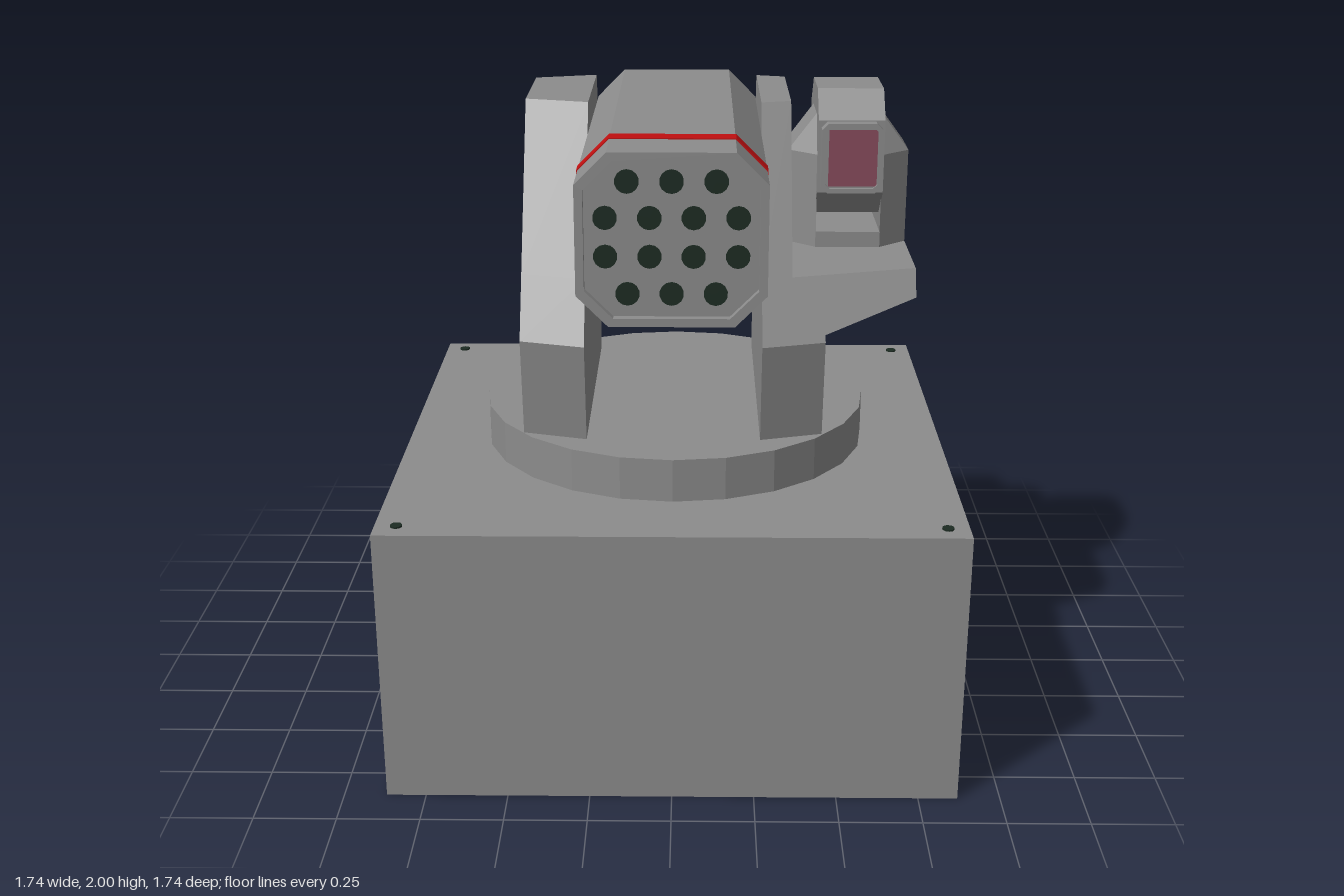
import * as THREE from 'three';
import { ConvexGeometry } from 'three/addons/geometries/ConvexGeometry.js';

const material = (name, color) => {
  const m = new THREE.MeshStandardMaterial({ color });
  m.name = name;
  return m;
};

export function createModel() {
  const model = new THREE.Group();
  model.name = 'launcherTurret';
  const grey = material('grey', 0x8c8c8c);
  const dark = material('darkGreen', 0x1c2b22);
  const red = material('red', 0xc00f10);
  const rose = material('rose', 0x864a5b);
  grey.flatShading = true;

  const add = (name, geometry, mat, x = 0, y = 0, z = 0, parent = model) => {
    const mesh = new THREE.Mesh(geometry, mat);
    mesh.name = name;
    mesh.position.set(x, y, z);
    parent.add(mesh);
    return mesh;
  };
  const box = (w, h, d) => new THREE.BoxGeometry(w, h, d);

  // Rectangle with cut corners, centred on the origin
  const octagon = (w, h, c, Type = THREE.Shape) => new Type([
    [w - c, -h], [w, c - h], [w, h - c], [w - c, h],
    [c - w, h], [-w, h - c], [-w, c - h], [c - w, -h],
  ].map(([x, y]) => new THREE.Vector2(x, y)));
  const extrude = (shape, depth) => new THREE.ExtrudeGeometry(shape, { depth, bevelEnabled: false });
  const ring = (outer, inner, depth) => {
    const shape = octagon(...outer);
    shape.holes.push(octagon(...inner, THREE.Path));
    return extrude(shape, depth);
  };

  // Pedestal, bolts and turntable
  add('pedestal', box(1.74, 0.87, 1.74), grey, 0, 0.435, 0);
  for (const x of [-0.805, 0.805]) for (const z of [-0.805, 0.805])
    add('pedestalBolt', new THREE.CylinderGeometry(0.018, 0.018, 0.006, 10), dark, x, 0.872, z);
  add('turntable', new THREE.CylinderGeometry(0.617, 0.617, 0.135, 24), grey, 0, 0.9375, 0);

  // Support arms: four-cornered rings stacked in y, narrowing in z away from the middle
  const inner = 0.267, taper = 0.28;
  const along = (pts, y) => {
    const i = pts.findIndex((p, k) => k > 0 && y <= p[0] + 1e-6);
    const [y0, z0] = pts[i - 1], [y1, z1] = pts[i];
    return z0 + (z1 - z0) * (y - y0) / (y1 - y0);
  };
  const frontEdge = [[1.005, 0.45], [1.32, 0.5], [1.98, 0.09]];
  const backEdge = [[1.005, -0.44], [1.5, -0.605], [1.98, -0.395]];
  function arm(levels, side) {
    const rings = levels.map(([y, outer]) => {
      const f = along(frontEdge, y), b = along(backEdge, y), t = taper * (outer - inner);
      const pts = [[inner, y, f], [outer, y, f - t], [outer, y, b + t], [inner, y, b]]
        .map(([x, py, z]) => [side * x, py, z]);
      return side < 0 ? pts.reverse() : pts;
    });
    const pos = [];
    const quad = (a, b, c, d) => pos.push(...a, ...b, ...c, ...a, ...c, ...d);
    for (let i = 0; i + 1 < rings.length; i++)
      for (let k = 0; k < 4; k++) {
        const n = (k + 1) % 4;
        quad(rings[i][k], rings[i][n], rings[i + 1][n], rings[i + 1][k]);
      }
    quad(...rings[rings.length - 1]);
    quad(...[...rings[0]].reverse());
    const g = new THREE.BufferGeometry();
    g.setAttribute('position', new THREE.Float32BufferAttribute(pos, 3));
    g.computeVertexNormals();
    return g;
  }
  add('rightArm', arm([[1.005, 0.465], [1.32, 0.465], [1.5, 0.465], [1.98, 0.465]], -1), grey);
  add('leftArmWithShelf', arm([[1.005, 0.46], [1.32, 0.46], [1.34, 0.46], [1.42, 0.745],
    [1.5, 0.745], [1.5, 0.36], [1.98, 0.36]], 1), grey);

  // Launch box with a raised front rim, tube openings at both ends and a red band
  const launcher = new THREE.Group();
  launcher.name = 'launchBox';
  launcher.position.set(0, 1.733, 0);
  model.add(launcher);
  const hull = [0.267, 0.247, 0.09];
  add('launchBoxBody', extrude(octagon(...hull), 1.285), grey, 0, 0, -0.5, launcher);
  add('frontRim', ring(hull, [0.243, 0.223, 0.08], 0.025), grey, 0, 0, 0.785, launcher);
  add('redBand', ring([0.27, 0.25, 0.091], [0.262, 0.242, 0.088], 0.06), red, 0, 0, 0.577, launcher);
  const rows = [[0.162, [-0.123, 0, 0.123]], [0.06, [-0.184, -0.061, 0.061, 0.184]],
    [-0.05, [-0.184, -0.061, 0.061, 0.184]], [-0.157, [-0.123, 0, 0.123]]];
  const opening = new THREE.CylinderGeometry(0.034, 0.034, 0.006, 14).rotateX(Math.PI / 2);
  for (const [y, xs] of rows) for (const x of xs) {
    add('frontTubeOpening', opening, dark, x, y, 0.786, launcher);
    add('rearTubeOpening', opening, dark, x, y, -0.501, launcher);
  }

  // Sensor: two tapered cheeks on a base plate, holding an eight-sided head
  const sensor = new THREE.Group();
  sensor.name = 'sensor';
  sensor.position.set(0.553, 0, -0.145);
  model.add(sensor);
  for (const s of [-1, 1]) {
    const pts = [];
    for (const z of [-1, 1]) {
      for (const [px, py, pz] of [[0.102, 1.5, 0.158], [0.102, 1.8, 0.158], [0.102, 1.92, 0.083],
        [0.192, 1.5, 0.08], [0.192, 1.8, 0.08]])
        pts.push(new THREE.Vector3(s * px, py, z * pz));
    }
    add('sensorCheek', new ConvexGeometry(pts), grey, 0, 0, 0, sensor);
  }
  add('sensorBase', box(0.206, 0.05, 0.316), grey, 0, 1.525, 0, sensor);
  const head = extrude(octagon(0.185, 0.2, 0.085), 0.208).translate(0, 0, -0.104).rotateY(Math.PI / 2);
  add('sensorHead', head, grey, 0, 1.8, 0, sensor);
  add('lensFrame', ring([0.095, 0.11, 0.02], [0.082, 0.096, 0.014], 0.04), grey, 0, 1.802, 0.185, sensor);
  add('lensBacking', box(0.17, 0.2, 0.028), grey, 0, 1.802, 0.199, sensor);
  add('lensPane', box(0.152, 0.178, 0.006), rose, 0.004, 1.802, 0.215, sensor);

  return model;
}
